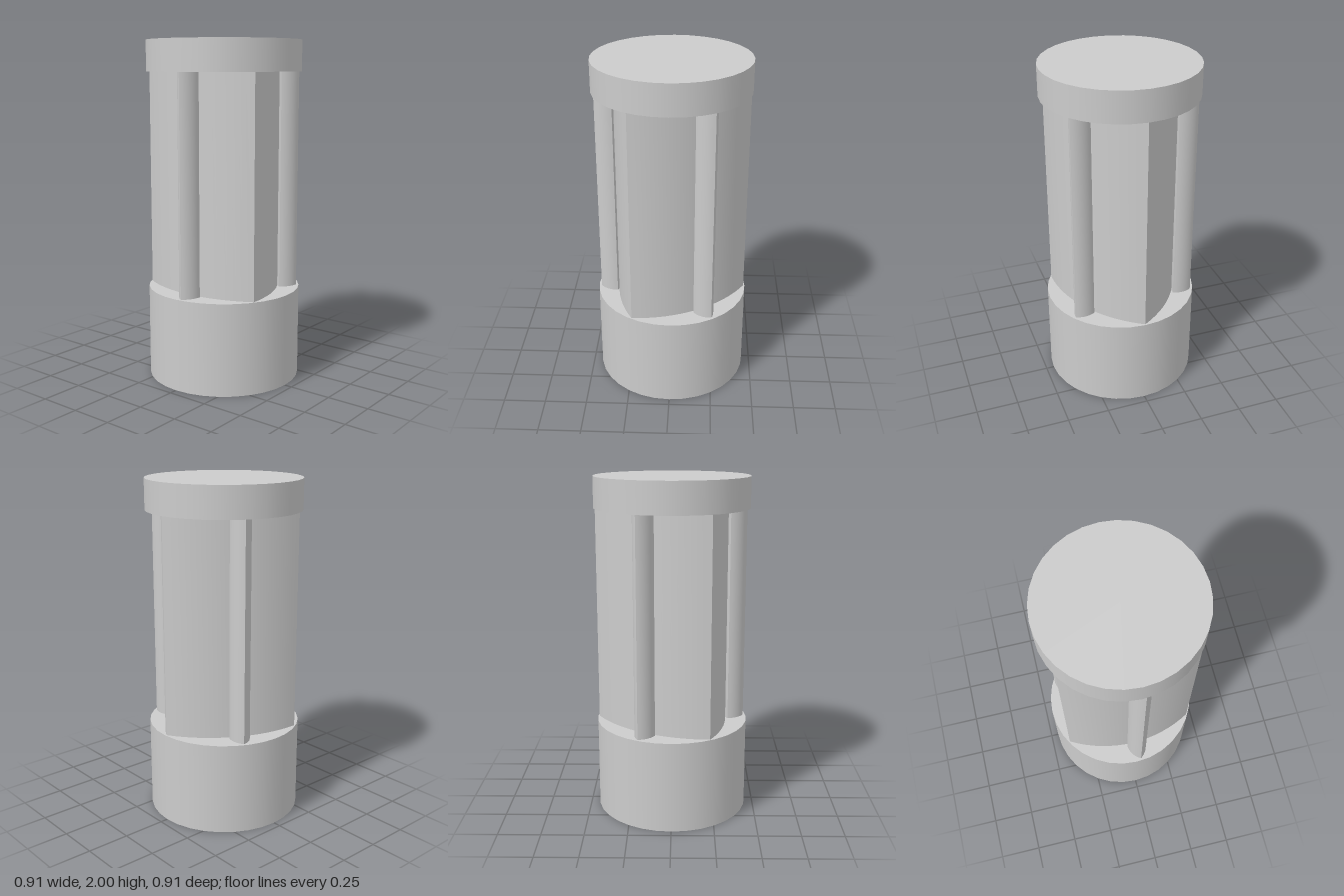
import * as THREE from 'three';
import { toCreasedNormals } from 'three/addons/utils/BufferGeometryUtils.js';

const material = new THREE.MeshStandardMaterial({ color: 0xcccccc });
const BASE_TOP = 0.545, CAP_BOTTOM = 1.82, TOP = 2, RADIUS = 0.453;

// Upright prism with a three-cornered, constant-width section; one corner points to +x
function roundedTrianglePrism(cornerRadius, steps) {
  const points = [];
  const width = Math.sqrt(3) * cornerRadius;
  for (let i = 0; i < 3; i++) {
    const opposite = (i + 2) * Math.PI * 2 / 3;
    const cx = Math.cos(opposite) * cornerRadius, cy = Math.sin(opposite) * cornerRadius;
    for (let j = 0; j < steps; j++) {
      const a = opposite + Math.PI + (j / steps - 0.5) * Math.PI / 3;
      points.push(new THREE.Vector2(cx + width * Math.cos(a), cy + width * Math.sin(a)));
    }
  }
  const geometry = new THREE.ExtrudeGeometry(new THREE.Shape(points), {
    depth: CAP_BOTTOM - BASE_TOP, bevelEnabled: false,
  });
  geometry.rotateX(-Math.PI / 2);
  geometry.translate(0, BASE_TOP, 0);
  return toCreasedNormals(geometry, Math.PI / 6);
}

function disc(name, bottom, top) {
  const mesh = new THREE.Mesh(new THREE.CylinderGeometry(RADIUS, RADIUS, top - bottom, 32), material);
  mesh.position.y = (bottom + top) / 2;
  mesh.name = name;
  return mesh;
}

export function createModel() {
  const group = new THREE.Group();
  group.name = 'column';

  // Round base and cap
  group.add(disc('base', 0, BASE_TOP), disc('cap', CAP_BOTTOM, TOP));

  // Main shaft
  const shaft = new THREE.Mesh(roundedTrianglePrism(0.445, 16), material);
  shaft.name = 'shaft';
  group.add(shaft);

  // Slim rods, one against each face of the shaft
  const rodGeometry = roundedTrianglePrism(0.068, 8);
  for (let i = 0; i < 3; i++) {
    const angle = THREE.MathUtils.degToRad(-56 + i * 120);
    const rod = new THREE.Mesh(rodGeometry, material);
    rod.position.set(0.37 * Math.cos(angle), 0, -0.37 * Math.sin(angle));
    rod.rotation.y = angle;
    rod.name = 'rod' + (i + 1);
    group.add(rod);
  }
  return group;
}
